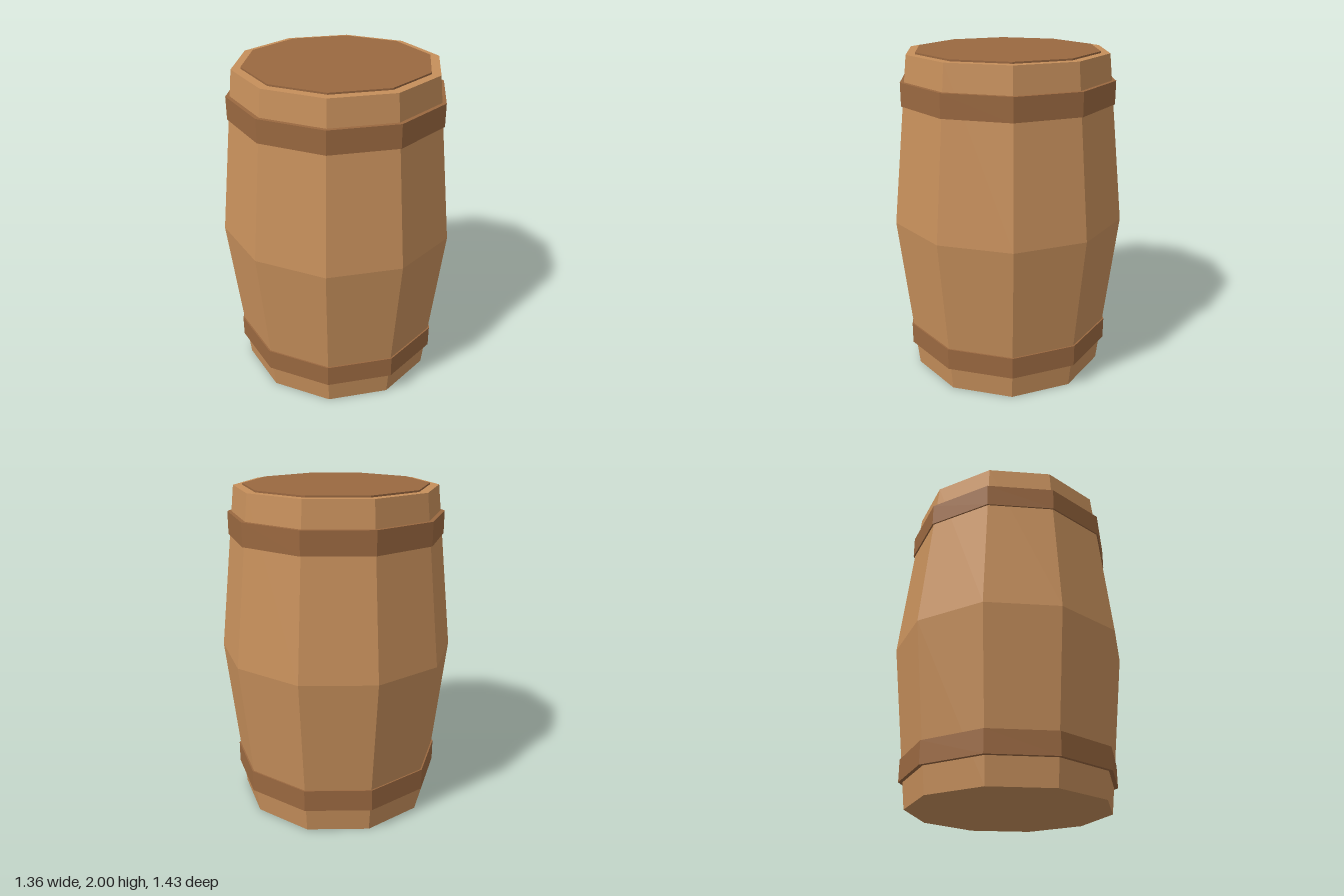
import * as THREE from 'three';

const SIDES = 10;

// Faceted solid of revolution from [radius, height] points, listed bottom to top
function turned(name, points, material) {
  const profile = points.map(([r, y]) => new THREE.Vector2(r, y));
  const mesh = new THREE.Mesh(new THREE.LatheGeometry(profile, SIDES), material);
  mesh.name = name;
  return mesh;
}

export function createModel() {
  const lightWood = new THREE.MeshStandardMaterial({ color: 0xc68f5b, flatShading: true });
  lightWood.name = 'light wood';
  const darkWood = new THREE.MeshStandardMaterial({ color: 0x9a6840, flatShading: true });
  darkWood.name = 'dark wood';

  const barrel = new THREE.Group();
  barrel.name = 'barrel';

  // Bulging body, closed at both ends
  barrel.add(turned('body',
    [[0, 0], [0.608, 0], [0.716, 0.995], [0.608, 1.99], [0, 1.99]], lightWood));

  // Two hoops, with their inner walls sunk into the body
  for (const [name, low, high] of [['lowerHoop', 0.157, 0.292], ['upperHoop', 1.7, 1.837]]) {
    barrel.add(turned(name,
      [[0.59, low], [0.649, low], [0.649, high], [0.59, high], [0.59, low]], darkWood));
  }

  // Lid standing slightly proud of the top
  barrel.add(turned('lid', [[0.553, 1.985], [0.553, 2], [0, 2]], darkWood));

  return barrel;
}
